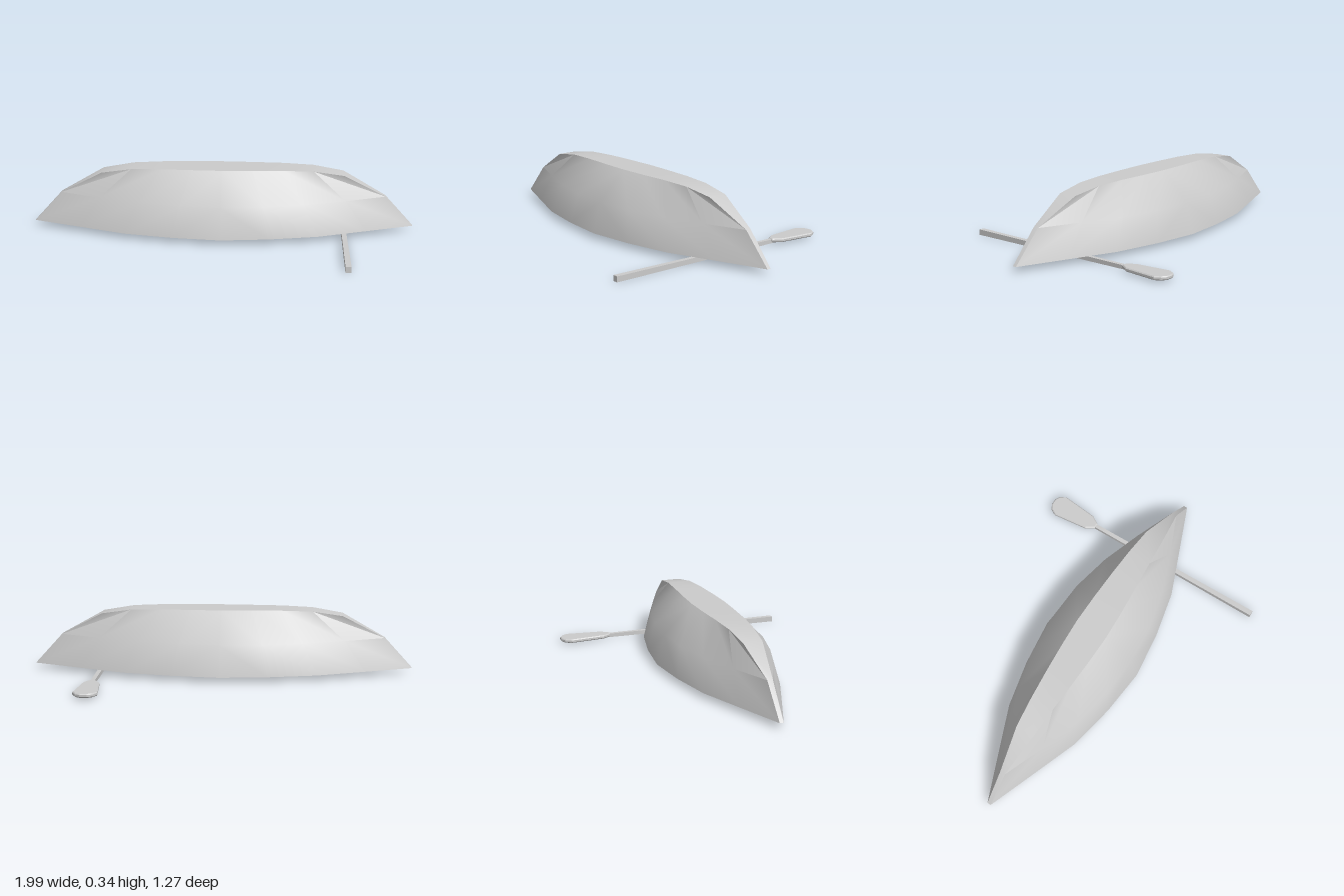
import * as THREE from 'three';
import { toCreasedNormals } from 'three/addons/utils/BufferGeometryUtils.js';

const material = new THREE.MeshStandardMaterial({ color: 0xcccccc });

function addMesh(parent, name, geometry) {
  const mesh = new THREE.Mesh(geometry, material);
  mesh.name = name;
  parent.add(mesh);
  return mesh;
}

// Lengthwise rows of the upturned hull, from inner floor round the rim to the keel.
// reach: half length; half widths and heights run from midship to the tip.
const level = (y) => [y, y, y, y, y];
const ROWS = [
  { reach: 0.66, width: [0.13, 0.125, 0.108, 0.075, 0.025], height: [0.265, 0.265, 0.265, 0.262, 0.25] },
  { reach: 0.80, width: [0.212, 0.197, 0.157, 0.09, 0.015], height: level(0.15) },
  { reach: 0.90, width: [0.255, 0.23, 0.187, 0.105, 0.02], height: level(0.03) },
  { reach: 0.995, width: [0.282, 0.255, 0.203, 0.107, 0.01], height: level(0.03) },
  { reach: 0.85, width: [0.24, 0.226, 0.178, 0.102, 0.014], height: level(0.19) },
  { reach: 0.63, width: [0.088, 0.083, 0.074, 0.063, 0.05], height: [0.34, 0.34, 0.34, 0.335, 0.31] },
];

function hullGeometry() {
  const stations = 9, ring = stations * 2;
  const positions = [], index = [];

  // Each row is a closed ring: along the front side, then back along the other
  for (const row of ROWS) {
    for (let i = 0; i < ring; i++) {
      const front = i < stations;
      const s = (front ? i : ring - 1 - i) - 4;
      const k = Math.abs(s);
      positions.push((s / 4) * row.reach, row.height[k], 0.009 + (front ? 1 : -1) * row.width[k]);
    }
  }
  const quad = (a, b, c, d) => index.push(a, b, c, a, c, d);

  // Skin between neighbouring rings, with the diagonals mirrored about midship
  for (let r = 0; r < ROWS.length - 1; r++) {
    for (let i = 0; i < ring; i++) {
      const a = r * ring + i, b = r * ring + ((i + 1) % ring);
      if (i < 4 || (i > 8 && i < 13)) quad(a, b, b + ring, a + ring);
      else quad(b, b + ring, a + ring, a);
    }
  }

  // Flat keel strip outside and floor strip inside
  const outer = (ROWS.length - 1) * ring;
  for (let i = 0; i < stations - 1; i++) {
    const j = ring - 1 - i;
    quad(outer + i, outer + i + 1, outer + j - 1, outer + j);
    quad(j, j - 1, i + 1, i);
  }

  const geometry = new THREE.BufferGeometry();
  geometry.setAttribute('position', new THREE.Float32BufferAttribute(positions, 3));
  geometry.setIndex(index);
  return toCreasedNormals(geometry, 0.68);
}

function createPaddle() {
  const paddle = new THREE.Group();
  paddle.name = 'paddle';

  // Square shaft, slimmer towards the blade
  const corner = Math.SQRT1_2;
  const shaft = new THREE.CylinderGeometry(0.029 * corner, 0.02 * corner, 1.0, 4, 1, false, Math.PI / 4);
  shaft.rotateX(Math.PI / 2);
  addMesh(paddle, 'shaft', toCreasedNormals(shaft, 0.5)).position.set(0, 0.017, 0.135);

  // Flat blade with softened edges, outlined in plan
  const side = [[0.014, 0.355], [0.042, 0.4], [0.062, 0.59], [0.044, 0.622], [0.018, 0.637]];
  const outline = [...side, ...side.map(([x, z]) => [-x, z]).reverse()];
  const shape = new THREE.Shape(outline.map(([x, z]) => new THREE.Vector2(x, z)));
  const blade = new THREE.ExtrudeGeometry(shape, {
    depth: 0.01, bevelThickness: 0.005, bevelSize: 0.005, bevelOffset: -0.005, bevelSegments: 1,
  });
  blade.rotateX(-Math.PI / 2);
  addMesh(paddle, 'blade', blade).position.y = 0.016;

  paddle.position.x = 0.632;
  return paddle;
}

export function createModel() {
  const model = new THREE.Group();
  model.name = 'upturnedBoat';
  addMesh(model, 'hull', hullGeometry());
  model.add(createPaddle());
  return model;
}
